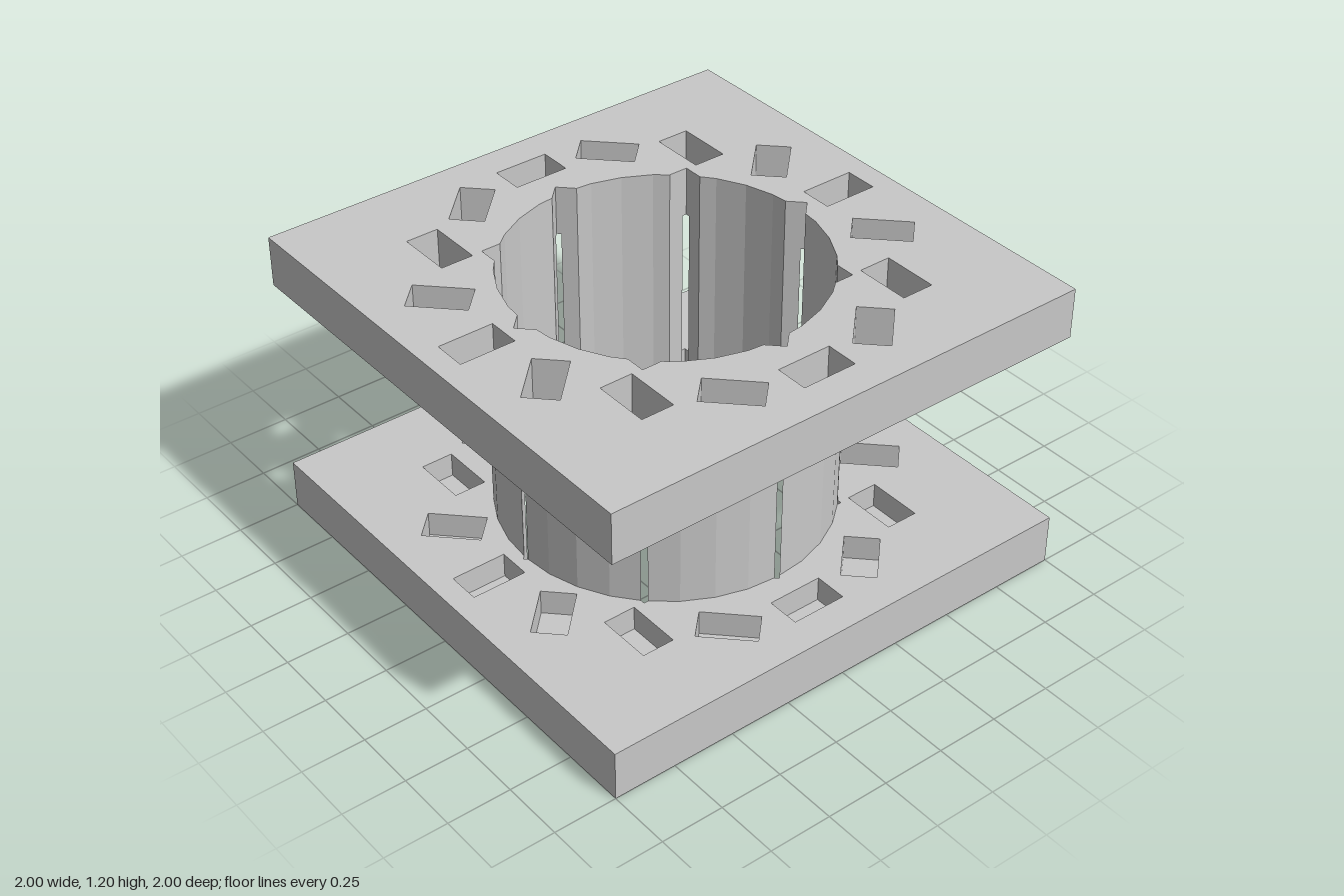
import * as THREE from 'three';
import { mergeGeometries } from 'three/addons/utils/BufferGeometryUtils.js';

const V = (x, y) => new THREE.Vector2(x, y);
const polar = (r, deg) => V(r * Math.cos(deg * Math.PI / 180), r * Math.sin(deg * Math.PI / 180));
const turn = (p, deg) => p.clone().rotateAround(V(0, 0), deg * Math.PI / 180);

// Horizontal face of an outline with holes, facing up or down
function face(outline, holes, y, up) {
  const shape = new THREE.Shape(outline);
  holes.forEach(h => shape.holes.push(new THREE.Path(h)));
  const g = new THREE.ShapeGeometry(shape).toNonIndexed();
  g.deleteAttribute('uv');
  return g.rotateX(up ? -Math.PI / 2 : Math.PI / 2).translate(0, y, 0);
}

// Vertical wall along a closed outline; inward walls line a hole
function wall(outline, y0, y1, inward = false) {
  const pts = inward ? [...outline].reverse() : outline;
  const pos = [];
  pts.forEach((a, i) => {
    const b = pts[(i + 1) % pts.length];
    pos.push(a.x, y0, -a.y, b.x, y0, -b.y, b.x, y1, -b.y);
    pos.push(a.x, y0, -a.y, b.x, y1, -b.y, a.x, y1, -a.y);
  });
  const g = new THREE.BufferGeometry();
  g.setAttribute('position', new THREE.Float32BufferAttribute(pos, 3));
  g.computeVertexNormals();
  return g;
}

// Point where a 45 degree notch (tip radius 0.65) meets the 32-sided circle of radius r
function notchEdge(r) {
  const k = Math.tan(Math.PI / 32);
  const z = (0.65 - r) / (1 - k);
  return V(0.65 - z, z);
}

// Points of one eighth of a notched circle
function arc(r) {
  const e = notchEdge(r);
  return [e, polar(r, 11.25), polar(r, 22.5), polar(r, 33.75), turn(V(e.x, -e.y), 45)];
}

export function createModel() {
  const model = new THREE.Group();
  const grey = new THREE.MeshStandardMaterial({ color: 0xc8c8c8 });
  grey.name = 'light grey';
  const add = (name, parts) => {
    const mesh = new THREE.Mesh(mergeGeometries(parts), grey);
    mesh.name = name;
    model.add(mesh);
  };

  const square = [V(-1, -1), V(1, -1), V(1, 1), V(-1, 1)];
  const bore = [], star = [], slots = [];
  for (let i = 0; i < 8; i++) {
    bore.push(polar(0.65, i * 45), ...arc(0.6).map(p => turn(p, i * 45)));
    star.push(polar(0.6 * Math.SQRT2, i * 45), polar(0.6 / Math.cos(Math.PI / 8), i * 45 + 22.5));
  }
  // Each slot turns twice as fast as its place on the ring
  for (let i = 0; i < 16; i++) {
    const centre = polar(0.8, i * 22.5);
    slots.push([[-1, -1], [1, -1], [1, 1], [-1, 1]].map(
      ([x, y]) => turn(V(x * 0.065, y * 0.11), i * 45).add(centre)));
  }

  // Top plate with slots right through
  add('topPlate', [
    wall(square, 1, 1.2), wall(bore, 1, 1.2, true),
    face(square, [bore, ...slots], 1.2, true),
    face(square, [bore, ...slots], 1, false),
    ...slots.map(s => wall(s, 1, 1.2, true)),
  ]);

  // Bottom plate with blind slots above and a star-shaped recess below
  const slotFloor = 0.1, recess = 0.085;
  add('bottomPlate', [
    wall(square, 0, 0.2), wall(bore, recess, 0.2, true),
    face(square, [bore, ...slots], 0.2, true),
    face(square, [star], 0, false),
    wall(star, 0, recess, true),
    face(star, [bore], recess, false),
    ...slots.map(s => wall(s, slotFloor, 0.2, true)),
    ...slots.map(s => face(s, [], slotFloor, true)),
  ]);

  // Central tube, parted by eight narrow slits
  const sector = [...arc(0.639), ...arc(0.6).reverse()];
  for (let i = 0; i < 8; i++) {
    add('tubeSegment' + (i + 1), [wall(sector.map(p => turn(p, i * 45)), 0.2, 1)]);
  }
  return model;
}
